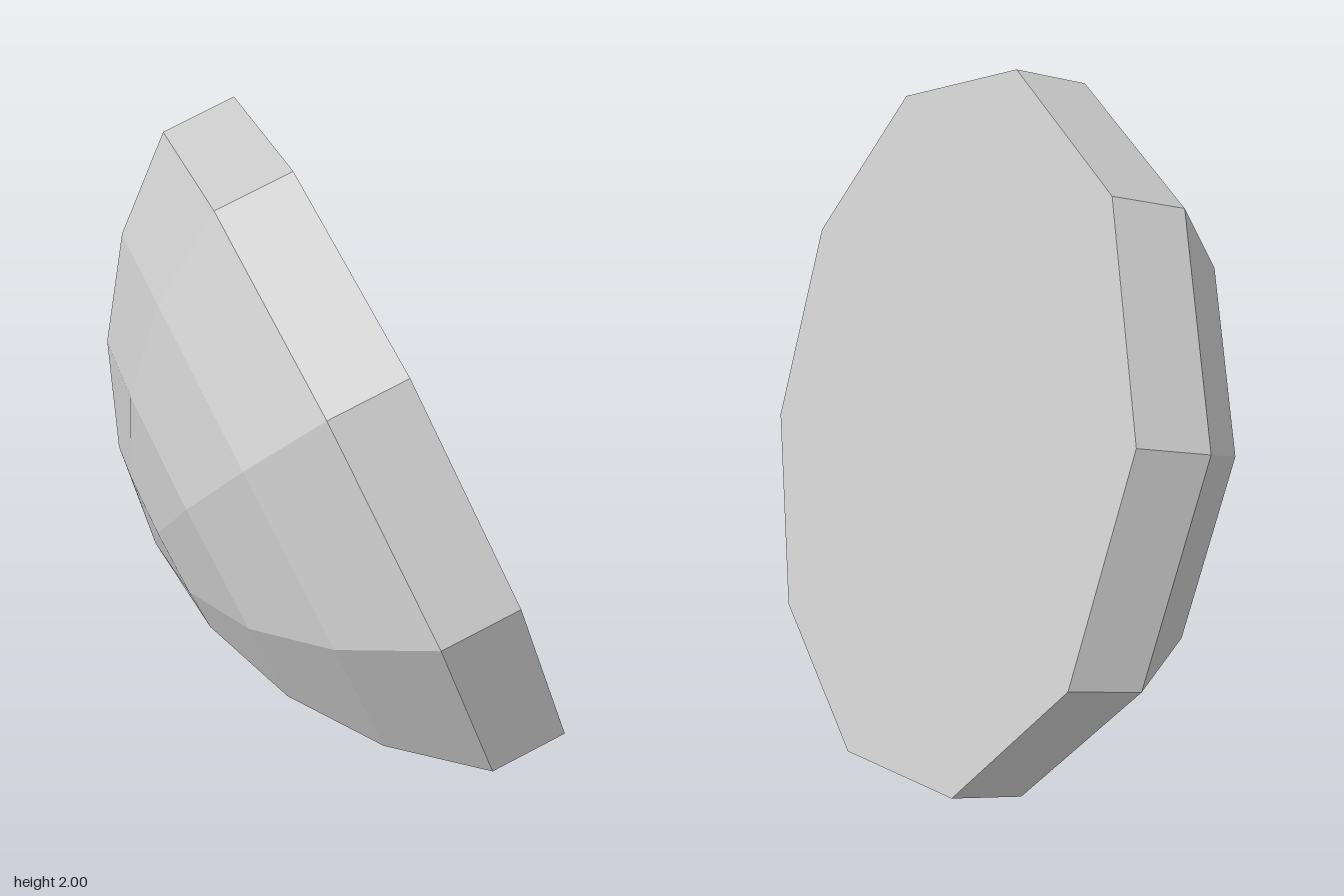
import * as THREE from 'three';

const SIDES = 10;
const RIM_HEIGHT = 0.22;
const SPHERE_RADIUS = 1.249;
const CAP_ANGLE = THREE.MathUtils.degToRad(56);
const RINGS = 4;

// Revolve a half profile into a ten-sided faceted shell
function facetedLathe(profile, material, name) {
  const points = profile.map(([r, y]) => new THREE.Vector2(r, y));
  const geometry = new THREE.LatheGeometry(points, SIDES).toNonIndexed();
  geometry.computeVertexNormals();
  const mesh = new THREE.Mesh(geometry, material);
  mesh.name = name;
  return mesh;
}

export function createModel() {
  const grey = new THREE.MeshStandardMaterial({ color: 0xcccccc, flatShading: true });
  grey.name = 'light grey';

  const rimRadius = SPHERE_RADIUS * Math.sin(CAP_ANGLE);
  const sphereCentre = RIM_HEIGHT - SPHERE_RADIUS * Math.cos(CAP_ANGLE);

  // Spherical cap, from the rim up to the apex
  const cap = [];
  for (let i = RINGS; i >= 0; i--) {
    const a = (CAP_ANGLE * i) / RINGS;
    cap.push([SPHERE_RADIUS * Math.sin(a), sphereCentre + SPHERE_RADIUS * Math.cos(a)]);
  }

  const dome = new THREE.Group();
  dome.name = 'tiltedDome';
  dome.add(
    facetedLathe([[0, 0], [rimRadius, 0]], grey, 'flatBack'),
    facetedLathe([[rimRadius, 0], [rimRadius, RIM_HEIGHT]], grey, 'rimBand'),
    facetedLathe(cap, grey, 'domeCap'),
  );

  // Tilt: the dome axis points forward, down and to the right,
  // with one rim corner straight up the slope
  const axis = new THREE.Vector3(-0.412, -0.333, 0.847).normalize();
  const slope = new THREE.Vector3(0, 0.93, 0.366);
  const side = new THREE.Vector3().crossVectors(axis, slope).normalize();
  slope.crossVectors(side, axis);
  dome.quaternion.setFromRotationMatrix(new THREE.Matrix4().makeBasis(side, axis, slope));
  dome.position.set(0.043, 1.04, -0.15);

  const model = new THREE.Group();
  model.name = 'facetedDome';
  model.add(dome);
  return model;
}
